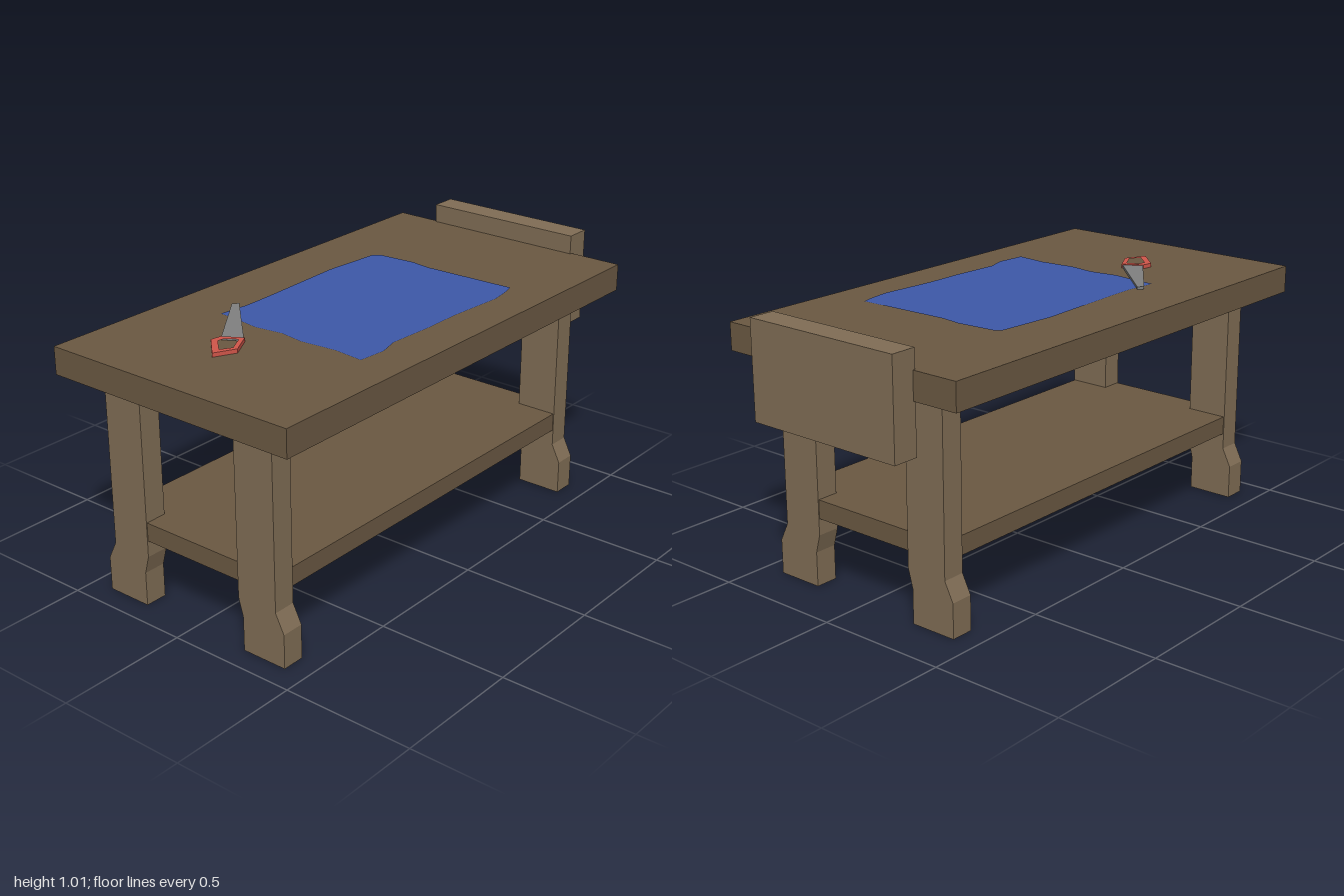
import * as THREE from 'three';

const mat = (color, extra = {}) => new THREE.MeshStandardMaterial({ color, flatShading: true, ...extra });
const darkWood = mat(0x6a5842);
const lightWood = mat(0x806d55);
const red = mat(0xd0564a);
const steel = mat(0x808080);
const blue = mat(0x3d58a8, { side: THREE.DoubleSide });

function part(name, geometry, material) {
  const mesh = new THREE.Mesh(geometry, material);
  mesh.name = name;
  return mesh;
}

// Box given by its minimum and maximum corners
function box(name, a, b, material) {
  const g = new THREE.BoxGeometry(b[0] - a[0], b[1] - a[1], b[2] - a[2]);
  g.translate((a[0] + b[0]) / 2, (a[1] + b[1]) / 2, (a[2] + b[2]) / 2);
  return part(name, g, material);
}

const points = (list) => list.map(([x, y]) => new THREE.Vector2(x, y));
// Plan outline in (x, z), to be laid flat
const plan = (list) => new THREE.Shape(points(list.map(([x, z]) => [x, -z])));

// Flat plate from a plan outline between two heights
function plate(name, shape, y0, y1, material) {
  const g = new THREE.ExtrudeGeometry(shape, { depth: y1 - y0, bevelEnabled: false });
  g.rotateX(-Math.PI / 2).translate(0, y0, 0);
  return part(name, g, material);
}

export function createModel() {
  const bench = new THREE.Group();
  bench.name = 'workbench';

  // Table top, lower shelf and end vise
  bench.add(box('tableTop', [-1, 0.835, -0.52], [0.91, 0.938, 0.52], darkWood));
  bench.add(box('shelf', [-0.91, 0.262, -0.375], [0.817, 0.333, 0.375], darkWood));
  bench.add(box('viseJaw', [0.9, 0.645, -0.34], [1, 1.01, 0.31], lightWood));

  // Four legs with feet stepping outwards; profile in (z, y)
  const profile = [[0.232, 0], [0.413, 0], [0.413, 0.13], [0.378, 0.2],
    [0.378, 0.836], [0.213, 0.836], [0.213, 0.2], [0.232, 0.13]];
  for (const [end, x] of [['right', -0.913], ['left', 0.733]]) {
    for (const side of [1, -1]) {
      // After the turn about y, shape x becomes -z
      const shape = new THREE.Shape(points(profile.map(([z, y]) => [-side * z, y])));
      const g = new THREE.ExtrudeGeometry(shape, { depth: 0.087, bevelEnabled: false });
      g.rotateY(Math.PI / 2).translate(x, 0, 0);
      bench.add(part(`${end}${side > 0 ? 'Front' : 'Back'}Leg`, g, lightWood));
    }
  }

  // Cloth with slightly wavy edges
  const cloth = new THREE.ShapeGeometry(plan([
    [-0.43, -0.29], [-0.31, -0.277], [-0.2, -0.278], [0.17, -0.292], [0.4, -0.272], [0.42, -0.25],
    [0.432, -0.1], [0.42, -0.02], [0.432, 0.35], [0.39, 0.362], [0.3, 0.375], [0.08, 0.358],
    [-0.08, 0.358], [-0.26, 0.348], [-0.34, 0.37], [-0.45, 0.36], [-0.437, 0.24], [-0.45, 0.1],
    [-0.435, 0], [-0.45, -0.11], [-0.437, -0.2],
  ]));
  cloth.rotateX(-Math.PI / 2).translate(0, 0.941, 0);
  bench.add(part('cloth', cloth, blue));

  // Hand saw: open grip and tapering blade
  const saw = new THREE.Group();
  saw.name = 'handSaw';
  const grip = plan([[-0.735, -0.04], [-0.65, -0.128], [-0.608, -0.122], [-0.565, -0.05], [-0.655, 0]]);
  grip.holes.push(plan([[-0.697, -0.045], [-0.645, -0.1], [-0.62, -0.097], [-0.59, -0.055], [-0.655, -0.02]]));
  saw.add(plate('sawGrip', grip, 0.938, 0.953, red));
  const blade = plan([[-0.608, -0.12], [-0.35, -0.312], [-0.33, -0.295], [-0.568, -0.052]]);
  saw.add(plate('sawBlade', blade, 0.94, 0.95, steel));
  bench.add(saw);

  return bench;
}
